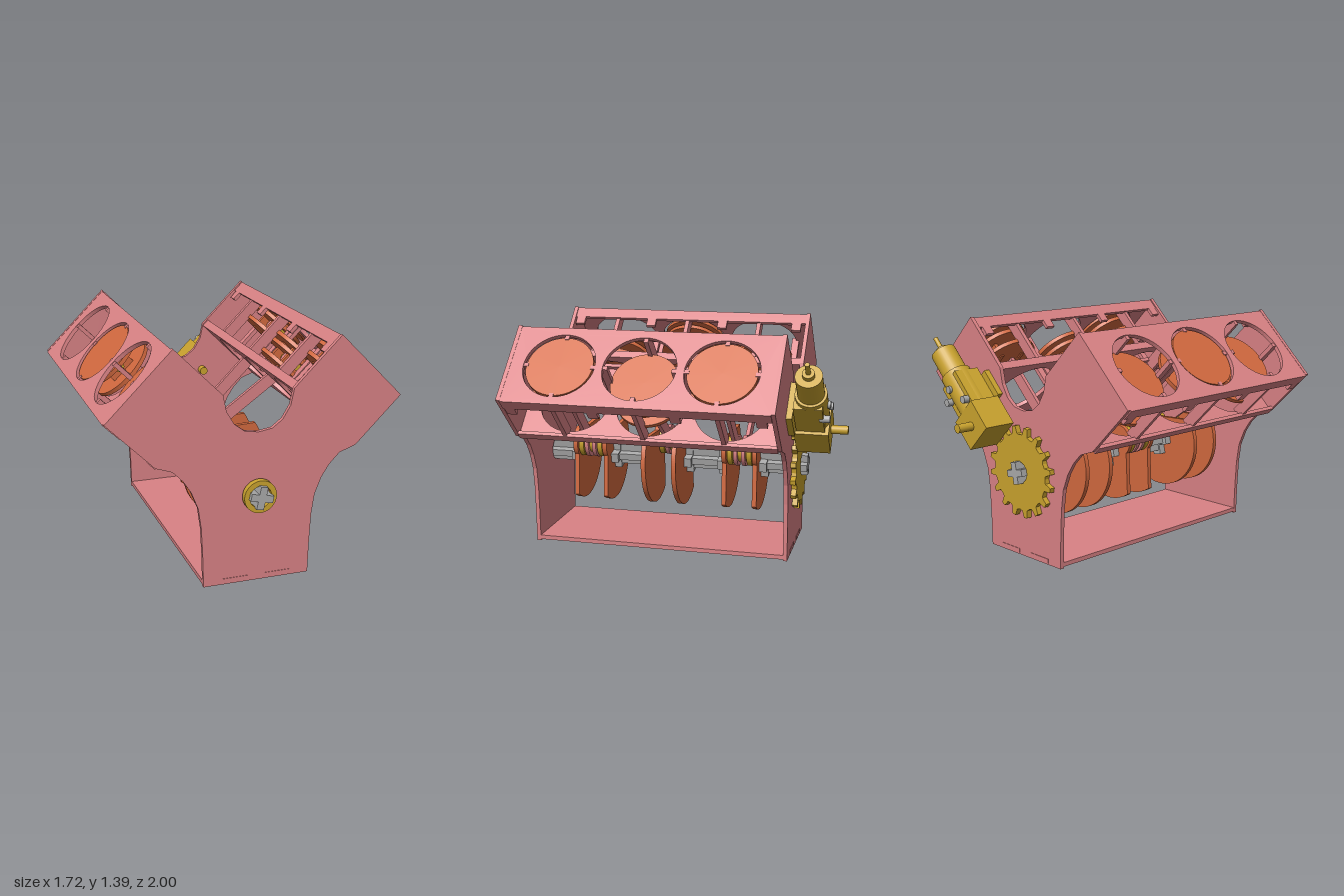
import * as THREE from 'three';

const mat = (color) => new THREE.MeshStandardMaterial({ color, side: THREE.DoubleSide });
const RED = mat(0xd98285), ORANGE = mat(0xd2693f), GOLD = mat(0xc9a22e), GREY = mat(0xaaaaaa);
const AXIS_Y = 0.525, PIN = 0.12, ROD = 0.73, CROWN = 0.09;
const CYL_Z = [0.605, 0.13, -0.345];

function add(parent, name, geo, material, x = 0, y = 0, z = 0) {
  const m = new THREE.Mesh(geo, material);
  m.name = name;
  m.position.set(x, y, z);
  parent.add(m);
  return m;
}
function group(parent, name, x = 0, y = 0, z = 0, rz = 0) {
  const g = new THREE.Group();
  g.name = name;
  g.position.set(x, y, z);
  g.rotation.z = rz;
  parent.add(g);
  return g;
}
const box = (x, y, z) => new THREE.BoxGeometry(x, y, z);
const cylZ = (r, len, n = 40) => new THREE.CylinderGeometry(r, r, len, n).rotateX(Math.PI / 2);
const extrude = (shape, depth) =>
  new THREE.ExtrudeGeometry(shape, { depth, bevelEnabled: false, curveSegments: 28 }).translate(0, 0, -depth / 2);
const polygon = (pts) => new THREE.Shape(pts.map(([x, y]) => new THREE.Vector2(x, y)));
function hole(shape, x, y, r) {
  shape.holes.push(new THREE.Path().absarc(x, y, r, 0, Math.PI * 2, true));
  return shape;
}

// Y-shaped end plate, right half mirrored
function endPlate() {
  const half = [[0.315, 0], [0.32, 0.2], [0.328, 0.36], [0.345, 0.48], [0.385, 0.58], [0.43, 0.65],
    [0.49, 0.712], [0.585, 0.745], [0.855, 1.015], [0.48, 1.39], [0.205, 1.115], [0.185, 1.02],
    [0.14, 0.945], [0.08, 0.9]];
  const left = half.map(([x, y]) => [-x, y]).reverse();
  return extrude(hole(polygon([...half, [0, 0.887], ...left]), 0, AXIS_Y, 0.066), 0.025);
}

// deck with three bores, lying across the bank
function deck() {
  const s = polygon([[-0.265, -0.65], [0.265, -0.65], [0.265, 0.9], [-0.265, 0.9]]);
  CYL_Z.forEach((z) => hole(s, 0, z, 0.215));
  return extrude(s, 0.025).rotateX(Math.PI / 2);
}

function crossBar(r, len) {
  const a = r * 0.32, pts = [];
  for (let i = 0; i < 4; i++) {
    const c = Math.cos(i * Math.PI / 2), s = Math.sin(i * Math.PI / 2);
    [[r, -a], [r, a], [a, a]].forEach(([x, y]) => pts.push([x * c - y * s, x * s + y * c]));
  }
  return extrude(polygon(pts), len).rotateZ(-0.2);
}

function gear(r, teeth, depth, bore) {
  const pts = [];
  for (let i = 0; i < teeth; i++) {
    [[0, 0.82], [0.3, 0.84], [0.42, 1], [0.68, 1], [0.8, 0.84]].forEach(([t, k]) => {
      const a = (i + t) * Math.PI * 2 / teeth;
      pts.push([r * k * Math.cos(a), r * k * Math.sin(a)]);
    });
  }
  return extrude(hole(polygon(pts), 0, 0, bore), depth);
}

// one side of the V: decks, rails and piston guides
function bank(root, name, angle) {
  const g = group(root, name, 0, AXIS_Y, 0, angle);
  add(g, 'upperDeck', deck(), RED, 0, 0.937, 0);
  add(g, 'lowerDeck', deck(), RED, 0, 0.567, 0);
  for (const s of [-1, 1]) {
    add(g, 'upperRail', box(0.022, 0.05, 1.55), RED, s * 0.254, 0.9, 0.125);
    add(g, 'lowerRail', box(0.022, 0.03, 1.55), RED, s * 0.254, 0.59, 0.125);
    for (const z of [0.86, 0.37, -0.107, -0.59])
      add(g, 'railTab', box(0.022, 0.06, 0.06), RED, s * 0.254, 0.85, z);
    for (const z of CYL_Z) {
      add(g, 'sideGuide', box(0.07, 0.375, 0.026), RED, s * 0.222, 0.757, z);
      add(g, 'endGuide', box(0.026, 0.375, 0.045), RED, 0, 0.757, z + s * 0.21);
    }
  }
}

// piston with its rod, from a crank pin at the given angle
function piston(root, z, pinAngle, side) {
  const axis = Math.PI / 2 - side * Math.PI / 4;
  const off = pinAngle - axis;
  const wrist = PIN * Math.cos(off) + Math.sqrt(ROD ** 2 - (PIN * Math.sin(off)) ** 2);
  const g = group(root, 'piston', 0, AXIS_Y, z, -side * Math.PI / 4);
  for (const [h, r] of [[0.078, 0.2], [0.03, 0.19], [-0.06, 0.2]])
    add(g, 'pistonDisc', new THREE.CylinderGeometry(r, r, 0.025, 48), ORANGE, 0, wrist + h, 0);
  for (const s of [-1, 1]) add(g, 'pinBracket', box(0.16, 0.16, 0.025), ORANGE, 0, wrist, s * 0.08);
  add(g, 'wristPin', cylZ(0.03, 0.24, 16), GOLD, 0, wrist, 0);

  const rodZ = z + side * 0.024;
  const px = PIN * Math.cos(pinAngle), py = AXIS_Y + PIN * Math.sin(pinAngle);
  const wx = wrist * Math.cos(axis), wy = AXIS_Y + wrist * Math.sin(axis);
  const rod = group(root, 'connectingRod', px, py, rodZ, Math.atan2(wy - py, wx - px) - Math.PI / 2);
  add(rod, 'bigEnd', cylZ(0.095, 0.024), RED);
  add(rod, 'rodShank', box(0.075, ROD, 0.024), RED, 0, ROD / 2, 0);
  add(rod, 'smallEnd', cylZ(0.065, 0.03, 28), RED, 0, ROD, 0);
}

// pair of counterweighted cheeks with the pin between
function crankThrow(root, z, pinAngle) {
  const g = group(root, 'crankThrow', 0, AXIS_Y, z, pinAngle - Math.PI / 2);
  const web = new THREE.Shape();
  web.absarc(0, 0, 0.3, Math.PI * 1.06, Math.PI * 1.94, false);
  web.absarc(0, PIN, 0.1, 0, Math.PI, false);
  const webGeo = extrude(web, 0.028);
  for (const s of [-1, 1]) {
    add(g, 'crankCheek', webGeo, ORANGE, 0, 0, s * 0.095);
    add(g, 'pinCollar', cylZ(0.092, 0.03), GOLD, 0, PIN, s * 0.06);
  }
  add(g, 'crankPin', cylZ(0.07, 0.18), GOLD, 0, PIN, 0);
}

// geared handle drive behind the back plate
function drive(root) {
  const g = group(root, 'motor', 0, AXIS_Y, 0, -Math.PI / 4);
  const x = -0.055;
  const along = (r, a, b, name) =>
    add(g, name, new THREE.CylinderGeometry(r, r, b - a, 32), GOLD, x, (a + b) / 2, -0.808);
  add(g, 'gearbox', box(0.22, 0.2, 0.2), GOLD, x, 0.34, -0.8);
  add(g, 'motorBlock', box(0.18, 0.24, 0.165), GOLD, x, 0.55, -0.795);
  add(g, 'mountPlate', box(0.25, 0.18, 0.035), GOLD, x, 0.53, -0.69);
  along(0.092, 0.42, 0.7, 'motorBarrel');
  along(0.077, 0.7, 0.87, 'motorCap');
  along(0.035, 0.87, 0.9, 'capBoss');
  along(0.014, 0.88, 0.98, 'motorTip');
  add(g, 'driveShaft', cylZ(0.026, 0.4, 20), GOLD, x, 0.332, -0.8);
  add(g, 'pinion', gear(0.075, 8, 0.03, 0.02), GOLD, x, 0.332, -0.686);
  for (const [sx, sy] of [[-0.05, 0.605], [0.02, 0.56], [-0.12, 0.48]])
    add(g, 'screw', cylZ(0.022, 0.06, 16), GREY, sx, sy, -0.885);
}

export function createModel() {
  const root = new THREE.Group();
  root.name = 'engine';

  // case
  const plate = endPlate();
  add(root, 'frontPlate', plate, RED, 0, 0, 0.911);
  add(root, 'backPlate', plate, RED, 0, 0, -0.66);
  add(root, 'floor', box(0.63, 0.026, 1.56), RED, 0, 0.022, 0.125);
  for (const z of [0.913, -0.662])
    for (const x of [-0.13, 0.13]) add(root, 'floorTab', box(0.16, 0.026, 0.027), RED, x, 0.022, z);
  bank(root, 'leftBank', -Math.PI / 4);
  bank(root, 'rightBank', Math.PI / 4);

  // crank, pistons and rods
  CYL_Z.forEach((z, i) => {
    const angle = i === 1 ? Math.PI * 0.75 : Math.PI * 0.25;
    crankThrow(root, z, angle);
    for (const side of [-1, 1]) piston(root, z, angle, side);
  });

  // shaft pieces between the throws, flared at the cheeks
  for (const [a, b] of [[1.0, 0.714], [0.496, 0.239], [0.021, -0.236], [-0.454, -0.745]]) {
    add(root, 'crankshaft', crossBar(0.066, a - b), GREY, 0, AXIS_Y, (a + b) / 2);
    if (a < 0.9) add(root, 'shaftFlange', crossBar(0.092, 0.045), GREY, 0, AXIS_Y, a - 0.023);
    if (b > -0.7) add(root, 'shaftFlange', crossBar(0.092, 0.045), GREY, 0, AXIS_Y, b + 0.023);
  }
  const ring = hole(new THREE.Shape().absarc(0, 0, 0.095, 0, Math.PI * 2, false), 0, 0, 0.064);
  add(root, 'frontBush', extrude(ring, 0.036), GOLD, 0, AXIS_Y, 0.955);
  add(root, 'backGear', gear(0.275, 16, 0.032, 0.064), GOLD, 0, AXIS_Y, -0.69);
  drive(root);
  return root;
}
